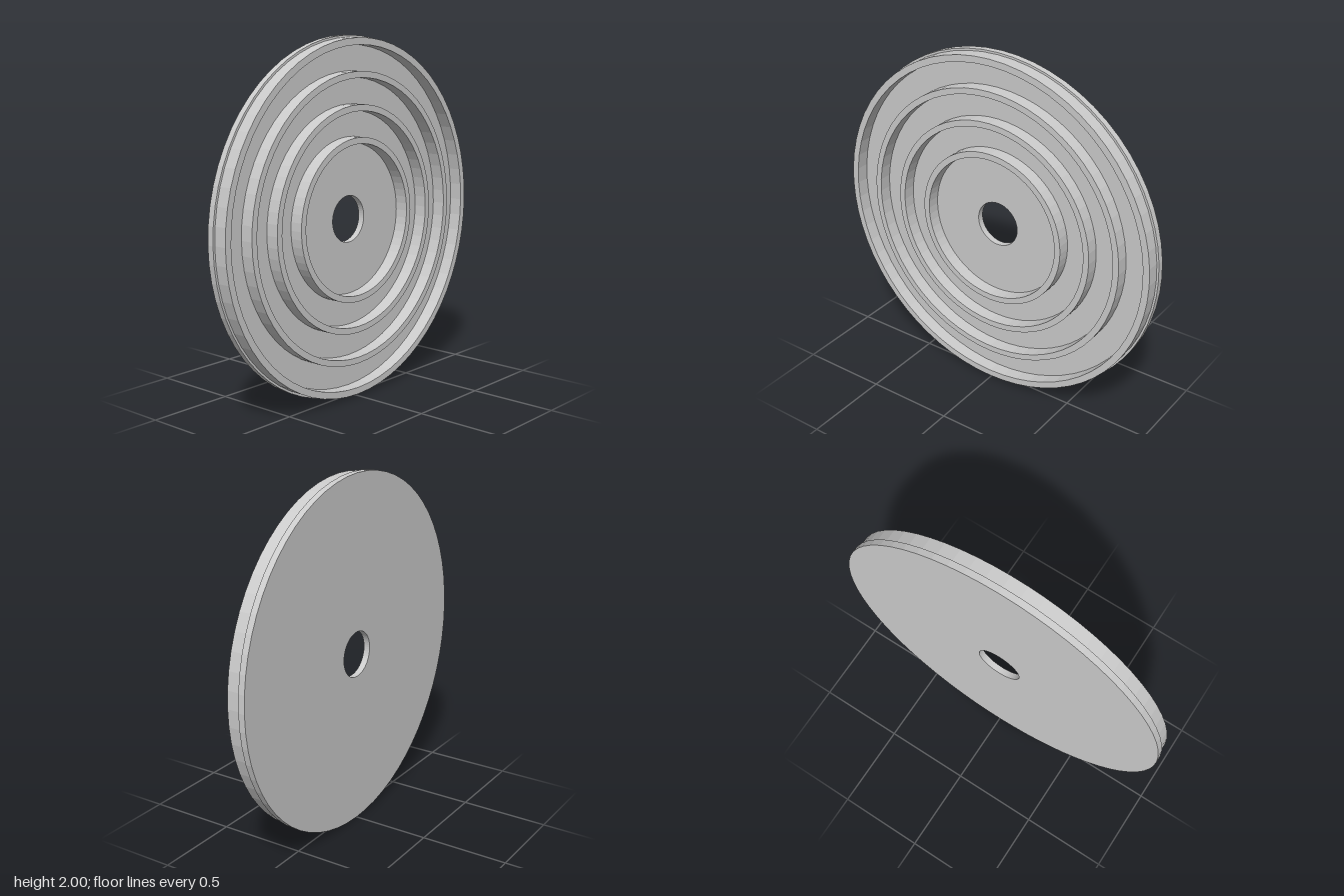
import * as THREE from 'three';

const BACK = -0.056, FLOOR = -0.019, FRONT = 0.056, SEGMENTS = 64;
const material = new THREE.MeshStandardMaterial({ color: 0xcccccc, flatShading: true });

// Revolves a [radius, x] profile about the x axis
function revolve(name, profile) {
  const points = profile.map(([r, x]) => new THREE.Vector2(r, x));
  const geometry = new THREE.LatheGeometry(points, SEGMENTS);
  geometry.rotateZ(-Math.PI / 2);
  const mesh = new THREE.Mesh(geometry, material);
  mesh.name = name;
  return mesh;
}

// Raised circular wall standing on the plate
function wall(name, inner, outer) {
  return revolve(name, [[outer, FLOOR], [outer, FRONT], [inner, FRONT], [inner, FLOOR]]);
}

export function createModel() {
  const disc = new THREE.Group();
  disc.name = 'ringedDisc';
  disc.position.y = 1;

  // Flat base plate with centre hole
  disc.add(revolve('basePlate', [
    [0.13, BACK], [1, BACK], [1, FLOOR], [0.13, FLOOR], [0.13, BACK],
  ]));

  // Outer rim, set in slightly from the plate edge
  disc.add(wall('outerRim', 0.95, 0.988));

  // Concentric ridges
  [0.455, 0.632, 0.81].forEach((outer, i) => {
    disc.add(wall(`ridge${i + 1}`, outer - 0.035, outer));
  });

  const model = new THREE.Group();
  model.name = 'model';
  model.add(disc);
  return model;
}
